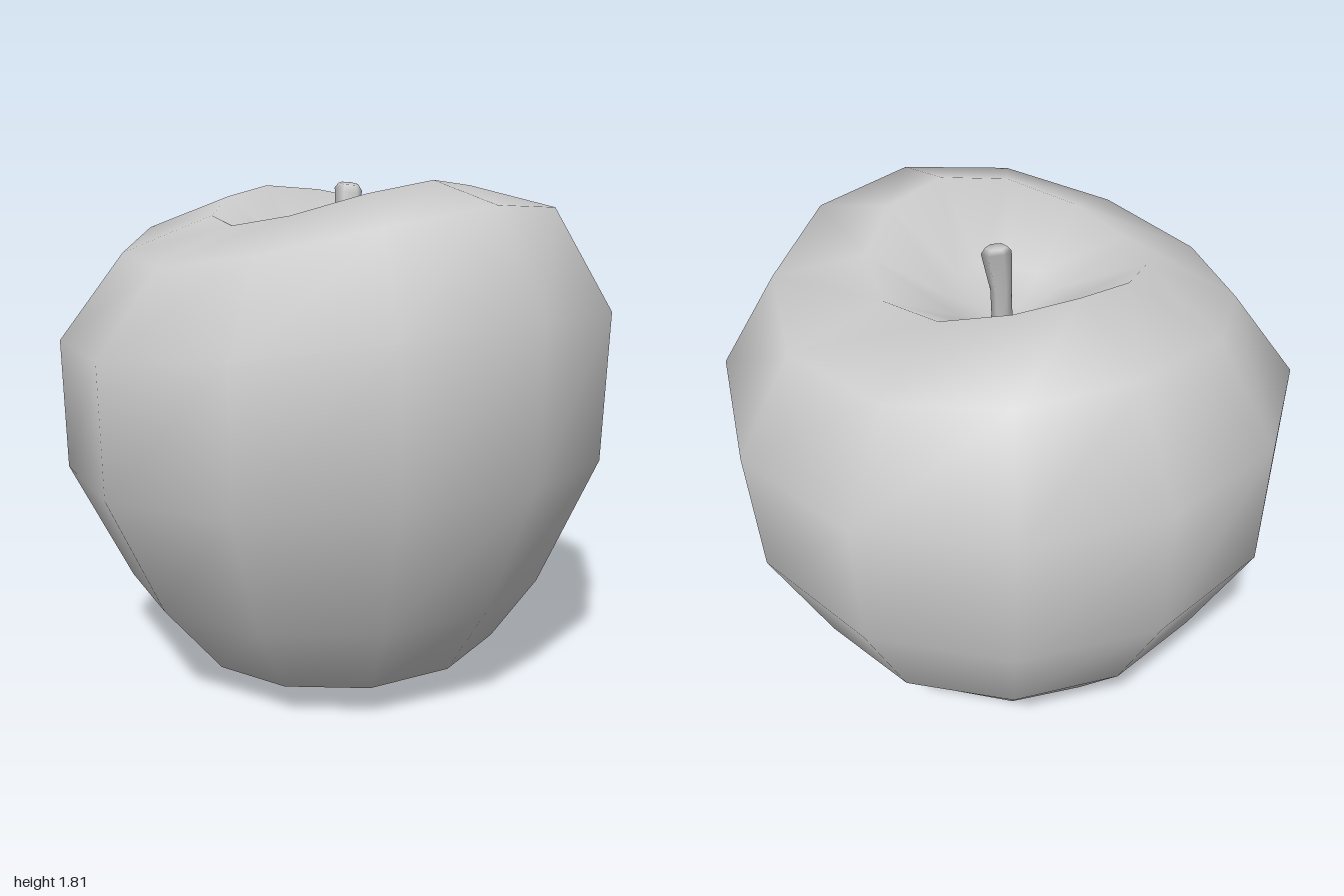
import * as THREE from 'three';

const SIDES = 12;
const material = new THREE.MeshStandardMaterial({ color: 0xcccccc });

// Smooth blend of four values given at +x, +z, -x and -z
function around([a, b, c, d], t) {
  return (a + b + c + d) / 4 + (a - c) / 2 * Math.cos(t) + (b - d) / 2 * Math.sin(t)
    + (a + c - b - d) / 4 * Math.cos(2 * t);
}

// Closed smooth skin: bottom point, rings from bottom to top, top point
function skin(bottom, rings, top) {
  const pos = [...bottom], index = [], n = rings[0].length;
  rings.forEach(ring => ring.forEach(p => pos.push(...p)));
  const last = 1 + rings.length * n;
  pos.push(...top);
  const at = (r, s) => 1 + r * n + s % n;
  for (let s = 0; s < n; s++) {
    index.push(0, at(0, s), at(0, s + 1));
    for (let r = 0; r < rings.length - 1; r++) {
      index.push(at(r, s), at(r + 1, s), at(r, s + 1));
      index.push(at(r, s + 1), at(r + 1, s), at(r + 1, s + 1));
    }
    index.push(at(rings.length - 1, s), last, at(rings.length - 1, s + 1));
  }
  const g = new THREE.BufferGeometry();
  g.setAttribute('position', new THREE.Float32BufferAttribute(pos, 3));
  g.setIndex(index);
  g.computeVertexNormals();
  return g;
}

function add(group, name, geometry) {
  const mesh = new THREE.Mesh(geometry, material);
  mesh.name = name;
  group.add(mesh);
  return mesh;
}

export function createModel() {
  const model = new THREE.Group();
  model.name = 'apple';

  // Fruit body: radius and height of each ring at +x, +z, -x, -z
  const profile = [
    { r: [0.11, 0.11, 0.11, 0.11], y: [0.08, 0.08, 0.08, 0.08] },
    { r: [0.27, 0.27, 0.25, 0.23], y: [0.00, 0.00, 0.02, 0.01] },
    { r: [0.58, 0.55, 0.51, 0.59], y: [0.14, 0.11, 0.11, 0.19] },
    { r: [0.75, 0.78, 0.74, 0.76], y: [0.40, 0.38, 0.39, 0.38] },
    { r: [0.95, 0.99, 0.95, 0.97], y: [0.87, 0.81, 0.81, 0.81] },
    { r: [0.96, 1.00, 0.96, 1.00], y: [1.40, 1.26, 1.30, 1.27] },
    { r: [0.75, 0.77, 0.75, 0.80], y: [1.74, 1.54, 1.66, 1.60] },
    { r: [0.47, 0.47, 0.42, 0.47], y: [1.81, 1.66, 1.77, 1.69] },
    { r: [0.20, 0.20, 0.20, 0.20], y: [1.60, 1.54, 1.58, 1.55] },
  ];
  const rings = profile.map(({ r, y }) => Array.from({ length: SIDES }, (_, s) => {
    const t = s / SIDES * Math.PI * 2, radius = around(r, t);
    return [radius * Math.cos(t), Math.max(0, around(y, t)), radius * Math.sin(t)];
  }));
  add(model, 'body', skin([0, 0.12, 0], rings, [0, 1.46, 0]));

  // Bent stem that widens to a slanted tip
  const stemRings = [
    { c: [0.00, 1.42, -0.03], r: 0.035, tilt: 0 },
    { c: [0.00, 1.60, -0.035], r: 0.036, tilt: 0 },
    { c: [-0.03, 1.765, -0.07], r: 0.05, tilt: 0.25 },
    { c: [-0.033, 1.785, -0.072], r: 0.036, tilt: 0.15 },
  ].map(({ c, r, tilt }) => Array.from({ length: 6 }, (_, s) => {
    const t = s / 6 * Math.PI * 2, x = r * Math.cos(t), z = r * Math.sin(t);
    return [c[0] + x, c[1] - tilt * x, c[2] + z];
  }));
  add(model, 'stem', skin([0, 1.42, -0.03], stemRings, [-0.033, 1.786, -0.072]));

  // Small blossom end in the bottom hollow
  const nub = add(model, 'blossomEnd', new THREE.SphereGeometry(0.04, 8, 6));
  nub.position.set(0, 0.11, 0);

  return model;
}
